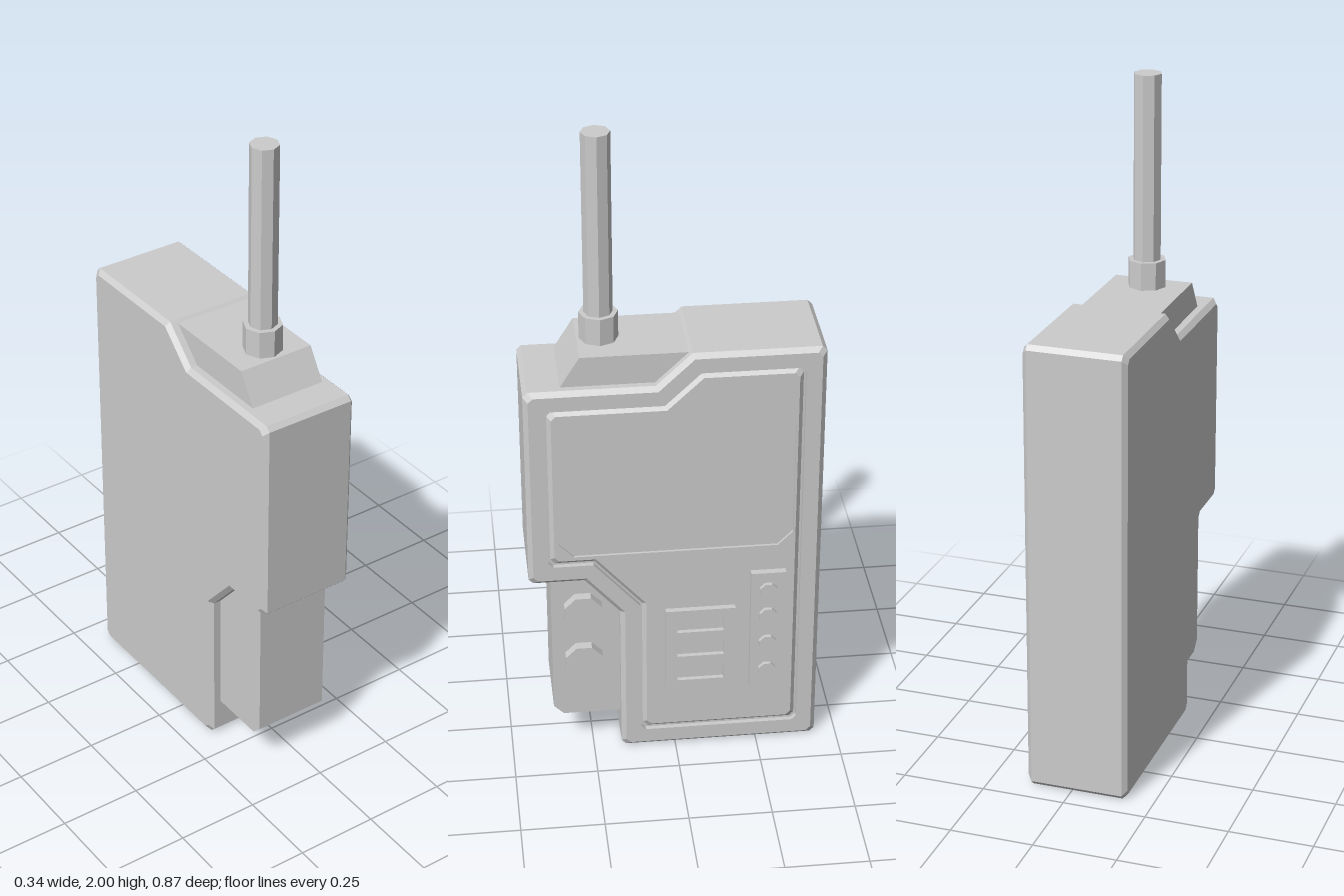
import * as THREE from 'three';

const material = new THREE.MeshStandardMaterial({ color: 0xcccccc, flatShading: true });

// Outlines are counter-clockwise [u, y] points, with u = -z (side profile seen from +x).
const rect = (u0, u1, y0, y1) => [[u0, y0], [u1, y0], [u1, y1], [u0, y1]];

// Moves every edge inward by d and cuts the square corners by c.
function insetOutline(points, d, c) {
  const n = points.length;
  const dirs = points.map(([u, y], i) => {
    const [u2, y2] = points[(i + 1) % n];
    const len = Math.hypot(u2 - u, y2 - y);
    return [(u2 - u) / len, (y2 - y) / len];
  });
  const out = [];
  points.forEach(([u, y], i) => {
    const a = dirs[(i + n - 1) % n], b = dirs[i];
    const dot = a[0] * b[0] + a[1] * b[1];
    const turn = a[0] * b[1] - a[1] * b[0];
    const k = d / (1 + dot);
    const p = [u - (a[1] + b[1]) * k, y + (a[0] + b[0]) * k];
    if (c > 0 && turn > 0 && Math.abs(dot) < 0.01) {
      out.push([p[0] - a[0] * c, p[1] - a[1] * c], [p[0] + b[0] * c, p[1] + b[1] * c]);
    } else out.push(p);
  });
  return out;
}

// Skins an outline through steps of [inset, x], then closes the ends.
function loft(name, outline, steps, { chamfer = 0, startCap = true, holes = [] } = {}) {
  const pos = [];
  const rings = steps.map(([d, x]) => insetOutline(outline, d, chamfer).map(([u, y]) => [x, y, -u]));
  for (let s = 0; s + 1 < rings.length; s++) {
    const A = rings[s], B = rings[s + 1];
    for (let i = 0; i < A.length; i++) {
      const j = (i + 1) % A.length;
      pos.push(...A[i], ...A[j], ...B[j], ...A[i], ...B[j], ...B[i]);
    }
  }
  const cap = (ring, cuts, flip) => {
    const x = ring[0][0];
    const contour = ring.map((p) => new THREE.Vector2(-p[2], p[1]));
    const inner = cuts.map((h) => h.map(([u, y]) => new THREE.Vector2(u, y)).reverse());
    const all = [contour, ...inner].flat();
    for (const tri of THREE.ShapeUtils.triangulateShape(contour, inner)) {
      for (const i of flip ? [...tri].reverse() : tri) pos.push(x, all[i].y, -all[i].x);
    }
  };
  if (startCap) cap(rings[0], [], true);
  cap(rings[rings.length - 1], holes, false);
  const geometry = new THREE.BufferGeometry();
  geometry.setAttribute('position', new THREE.Float32BufferAttribute(pos, 3));
  geometry.computeVertexNormals();
  const mesh = new THREE.Mesh(geometry, material);
  mesh.name = name;
  return mesh;
}

// Octagonal cylinder, upright or lying along x.
function octagon(name, radius, length, x, y, z, sideways = false) {
  const geometry = new THREE.CylinderGeometry(radius, radius, length, 8);
  if (sideways) geometry.rotateY(Math.PI / 8).rotateZ(-Math.PI / 2);
  const mesh = new THREE.Mesh(geometry, material);
  mesh.name = name;
  mesh.position.set(x, y, z);
  return mesh;
}

export function createModel() {
  const model = new THREE.Group();
  model.name = 'handheldRadio';

  // Casing: bevelled edges, a groove behind the rim and a raised inner panel
  const casing = [
    [-0.165, 0], [0.435, 0], [0.435, 1.37], [0.05, 1.37], [-0.055, 1.27],
    [-0.435, 1.27], [-0.435, 0.62], [-0.27, 0.62], [-0.165, 0.5],
  ];
  const screen = rect(-0.344, 0.35, 0.71, 1.165);
  const panelX = 0.134;
  model.add(loft('casing', casing, [
    [0.014, -0.17], [0, -0.156], [0, 0.123], [0.014, 0.137],
    [0.06, 0.137], [0.06, 0.122], [0.066, 0.122], [0.078, panelX],
  ], { chamfer: 0.014, holes: [insetOutline(screen, 0, 0.045)] }));

  // Sunken screen
  model.add(loft('screen', screen, [[0, panelX], [0, 0.126]], { chamfer: 0.045, startCap: false }));

  // Speaker plate with three sunken slots
  const slots = [0.275, 0.363, 0.451].map((y) => rect(0.005, 0.145, y - 0.025, y + 0.025));
  model.add(loft('speakerPlate', rect(-0.03, 0.18, 0.22, 0.505), [[0, 0.12], [0, 0.152]], { holes: slots }));
  for (const slot of slots) {
    model.add(loft('speakerSlot', slot, [[0, 0.152], [0, 0.138]], { startCap: false }));
  }

  // Button strip
  model.add(loft('buttonStrip', rect(0.225, 0.33, 0.21, 0.625), [[0, 0.12], [0, 0.155]]));
  for (const y of [0.275, 0.375, 0.475, 0.565]) {
    model.add(octagon('button', 0.028, 0.03, 0.152, y, -0.277, true));
  }

  // Front grip block with two dials
  model.add(loft('gripBlock', [
    [-0.34, 0.115], [-0.1, 0.115], [-0.1, 0.64], [-0.37, 0.64], [-0.37, 0.145],
  ], [[0, -0.133], [0, 0.1]]));
  for (const y of [0.32, 0.5]) model.add(octagon('dial', 0.061, 0.05, 0.105, y, 0.275, true));

  // Antenna mount, collar and mast
  model.add(loft('antennaMount', [
    [-0.33, 1.265], [0.04, 1.265], [0.04, 1.362], [-0.27, 1.362],
  ], [[0, -0.135], [0, 0.103]]));
  model.add(octagon('antennaCollar', 0.057, 0.1, -0.016, 1.395, 0.205));
  model.add(octagon('antennaMast', 0.042, 0.6, -0.016, 1.7, 0.205));

  return model;
}
